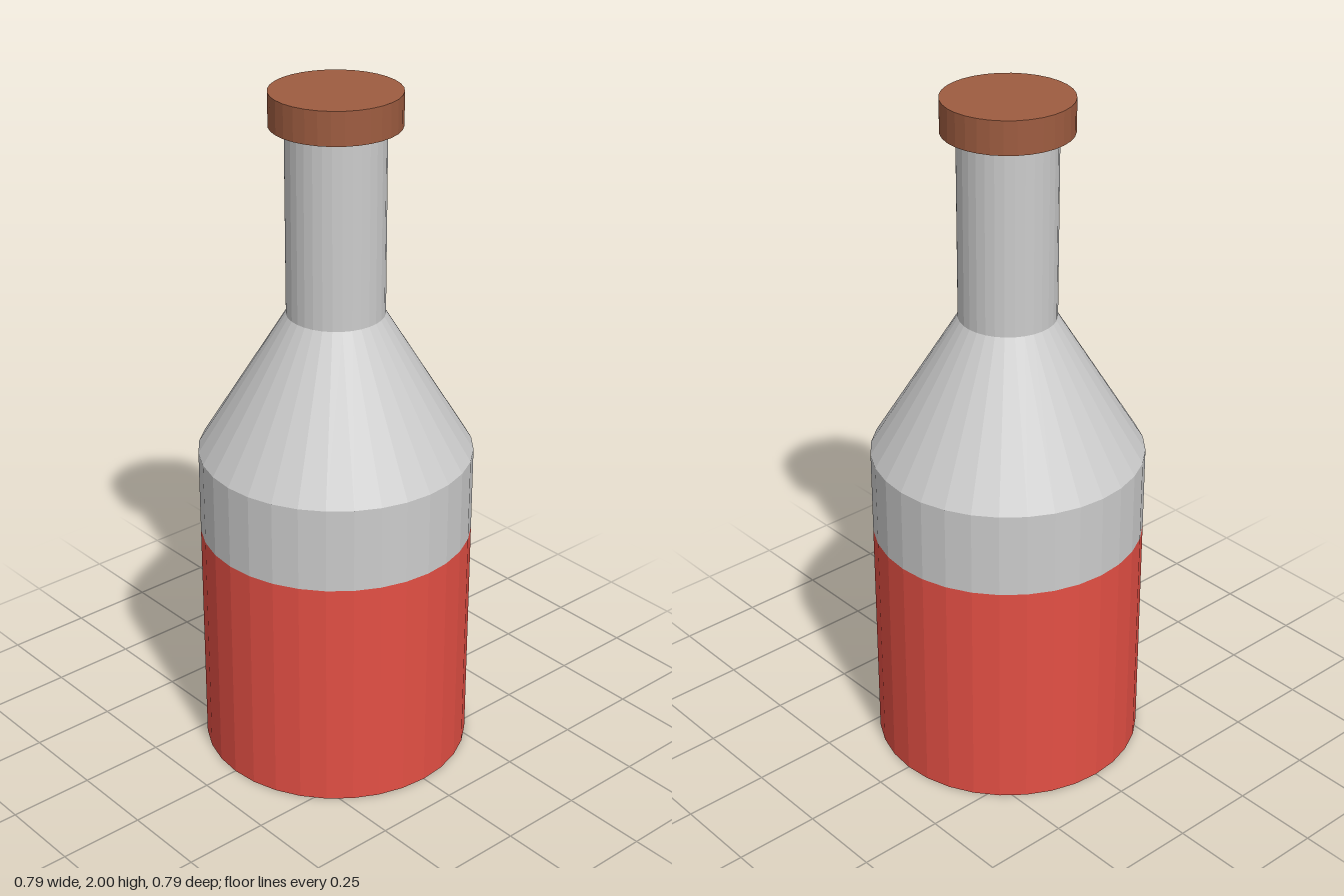
import * as THREE from 'three';

const SIDES = 32;

export function createModel() {
  const model = new THREE.Group();
  const material = (color) => new THREE.MeshStandardMaterial({ color, flatShading: true });
  const glass = material(0xcccccc);
  const red = material(0xe34f44);
  const cork = material(0x9e5c40);

  // A faceted ring section between two heights
  const section = (name, mat, bottomRadius, topRadius, y0, y1, open = true) => {
    const geometry = new THREE.CylinderGeometry(topRadius, bottomRadius, y1 - y0, SIDES, 1, open);
    const mesh = new THREE.Mesh(geometry, mat);
    mesh.name = name;
    mesh.position.y = (y0 + y1) / 2;
    model.add(mesh);
  };

  // Bottle, from the base up
  section('lowerBody', red, 0.393, 0.393, 0, 0.7, false);
  section('upperBody', glass, 0.393, 0.393, 0.7, 0.95);
  section('shoulder', glass, 0.393, 0.139, 0.95, 1.365);
  section('neck', glass, 0.139, 0.139, 1.365, 1.905);

  // Stopper, with a red underside
  section('stopper', [cork, cork, red], 0.182, 0.182, 1.905, 2, false);

  return model;
}
